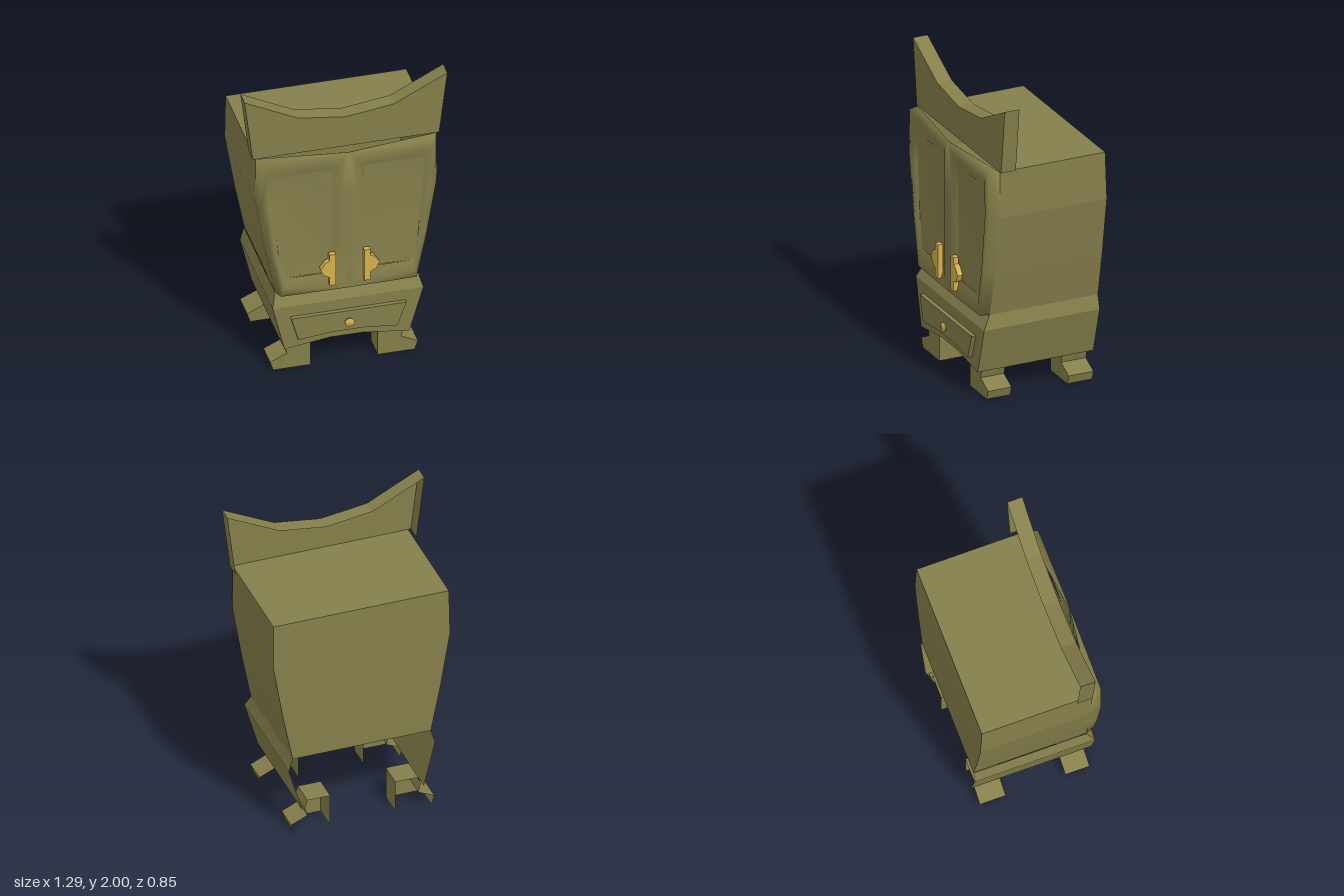
import * as THREE from 'three';
import { mergeGeometries } from 'three/addons/utils/BufferGeometryUtils.js';

const wood = new THREE.MeshStandardMaterial({ name: 'olive wood', color: 0x857f4b, side: THREE.DoubleSide });
const brass = new THREE.MeshStandardMaterial({ name: 'brass', color: 0xd4b04e, side: THREE.DoubleSide });

// Grid surface through rows of points; smooth or faceted
function grid(rows, { smooth = false, closed = false } = {}) {
  const n = rows[0].length, index = [];
  for (let r = 0; r < rows.length - 1; r++) {
    for (let c = 0; c < (closed ? n : n - 1); c++) {
      const d = (c + 1) % n, a = r * n + c, b = r * n + d;
      index.push(a, b, b + n, a, b + n, a + n);
    }
  }
  let g = new THREE.BufferGeometry();
  g.setAttribute('position', new THREE.Float32BufferAttribute(rows.flat(2), 3));
  g.setIndex(index);
  if (!smooth) g = g.toNonIndexed();
  g.computeVertexNormals();
  return g;
}

// Flat outline facing +z
function plate(pts, z) {
  const g = new THREE.ShapeGeometry(new THREE.Shape(pts.map(p => new THREE.Vector2(...p)))).toNonIndexed();
  g.deleteAttribute('uv');
  return g.translate(0, 0, z);
}

// Hollow moulding: front plate and rim, open at the back; the last `skip` edges stay open
function shell(pts, z0, z1, skip = 0) {
  const rim = [...pts, pts[0]].slice(0, pts.length + 1 - skip);
  const walls = grid([rim.map(p => [...p, z0]), rim.map(p => [...p, z1])]);
  return mergeGeometries([plate(pts, z1), walls]);
}

// Mirror an outline about x = c
const mirror = (pts, c = 0) => pts.map(([x, y]) => [2 * c - x, y]);

export function createModel() {
  const model = new THREE.Group();
  const add = (name, geo, mat = wood) => {
    const m = new THREE.Mesh(geo, mat);
    m.name = name;
    model.add(m);
    return m;
  };

  // Upper cabinet: [y, half width, front z, back z]
  const levels = [[0.57, 0.453, 0.32, -0.42], [0.88, 0.515, 0.31, -0.42],
    [1.26, 0.578, 0.31, -0.42], [1.57, 0.575, 0.31, -0.41]];
  for (const s of [-1, 1]) {
    add('cabinetSide', grid(levels.map(([y, x, f, b]) => [[s * x, y, f], [s * x, y, b]])));
  }
  add('cabinetBack', grid(levels.map(([y, x, , b]) => [[x, y, b], [-x, y, b]])));
  for (const [name, [y, x, f, b]] of [['cabinetBottom', levels[0]], ['cabinetTop', levels[3]]]) {
    add(name, grid([[[-x, y, f], [x, y, f]], [[-x, y, b], [x, y, b]]]));
  }

  // Doors: a rounded frame of rings around a sunken panel
  const outer = [[0, 0.57, 0.38], [0.453, 0.57, 0.32], [0.515, 0.88, 0.31], [0.578, 1.26, 0.31],
    [0.575, 1.57, 0.31], [0, 1.57, 0.38], [0, 1.26, 0.385], [0, 0.88, 0.385]];
  const edge = outer.map(([x, y]) => [x ? x - 0.022 : 0, y, x ? 0.38 : 0.385]);
  const panel = [[0.1, 0.69, 0.365], [0.4, 0.69, 0.365], [0.445, 0.88, 0.36], [0.478, 1.26, 0.36],
    [0.478, 1.445, 0.365], [0.1, 1.445, 0.365], [0.1, 1.26, 0.36], [0.1, 0.88, 0.36]];
  const ridge = edge.map((p, i) => [(p[0] + panel[i][0]) / 2, (p[1] + panel[i][1]) / 2, 0.385]);
  for (const s of [-1, 1]) {
    const flip = ring => ring.map(([x, y, z]) => [s * x, y, z]);
    add('doorFrame', grid([outer, edge, ridge, panel].map(flip), { smooth: true, closed: true }));
    const rows = [[0, 1, 0.36], [7, 2, 0.34], [6, 3, 0.335], [5, 4, 0.36]].map(([i, o, z]) => {
      const a = panel[i], b = panel[o];
      return flip([a, [(a[0] + b[0]) / 2, a[1], z], b]);
    });
    add('doorPanel', grid(rows, { smooth: true }));

    // Door handle: upright bar with a faceted grip
    const grip = [[0.09, 0.62], [0.13, 0.62], [0.13, 0.68], [0.168, 0.70], [0.187, 0.745],
      [0.155, 0.79], [0.13, 0.80], [0.13, 0.845], [0.09, 0.845]];
    add('doorHandle', shell(grip.map(([x, y]) => [s * x, y]), 0.375, 0.41), brass);
  }

  // Base: sloping shoulder, tapered walls, arched front, open back and underside
  const base = [[0.57, -0.455, 0.452, 0.32], [0.48, -0.481, 0.477, 0.37], [0.17, -0.407, 0.387, 0.37]];
  for (const side of [1, 2]) {
    add('baseSide', grid(base.map(l => [[l[side], l[0], l[3]], [l[side], l[0], -0.42]])));
  }
  add('baseShoulder', grid(base.slice(0, 2).map(([y, l, r, z]) => [[l, y, z], [r, y, z]])));
  add('baseFront', plate([[-0.481, 0.48], [-0.407, 0.17], [-0.12, 0.21], [0.1, 0.21],
    [0.387, 0.17], [0.477, 0.48]], 0.37));

  // Drawer with a round knob
  add('drawer', shell([[-0.37, 0.405], [-0.325, 0.243], [-0.11, 0.265], [0.1, 0.265],
    [0.305, 0.243], [0.362, 0.405]], 0.365, 0.398));
  const knobProfile = [[0.012, 0], [0.012, 0.012], [0.03, 0.015], [0.03, 0.026], [0, 0.031]]
    .map(p => new THREE.Vector2(...p));
  const knob = add('drawerKnob', new THREE.LatheGeometry(knobProfile, 10), brass);
  knob.rotation.x = Math.PI / 2;
  knob.position.set(-0.005, 0.33, 0.395);

  // Feet: hollow brackets, open at the back and underneath
  const foot = [[0.196, 0], [0.196, 0.22], [0.345, 0.22], [0.362, 0.17], [0.345, 0.11],
    [0.452, 0.06], [0.432, 0]];
  for (const [z0, z1] of [[0.17, 0.33], [-0.39, -0.22]]) {
    add('foot', shell(foot, z0, z1, 1));
    add('foot', shell(mirror(foot, -0.018), z0, z1, 1));
  }

  // Horned crest: hollow, open at the back and underneath
  const horn = [[0.593, 1.57], [0.645, 2], [0.305, 1.828]];
  add('crest', shell([...horn, [0, 1.786], ...mirror(horn).reverse()], 0.21, 0.31, 1));

  return model;
}
